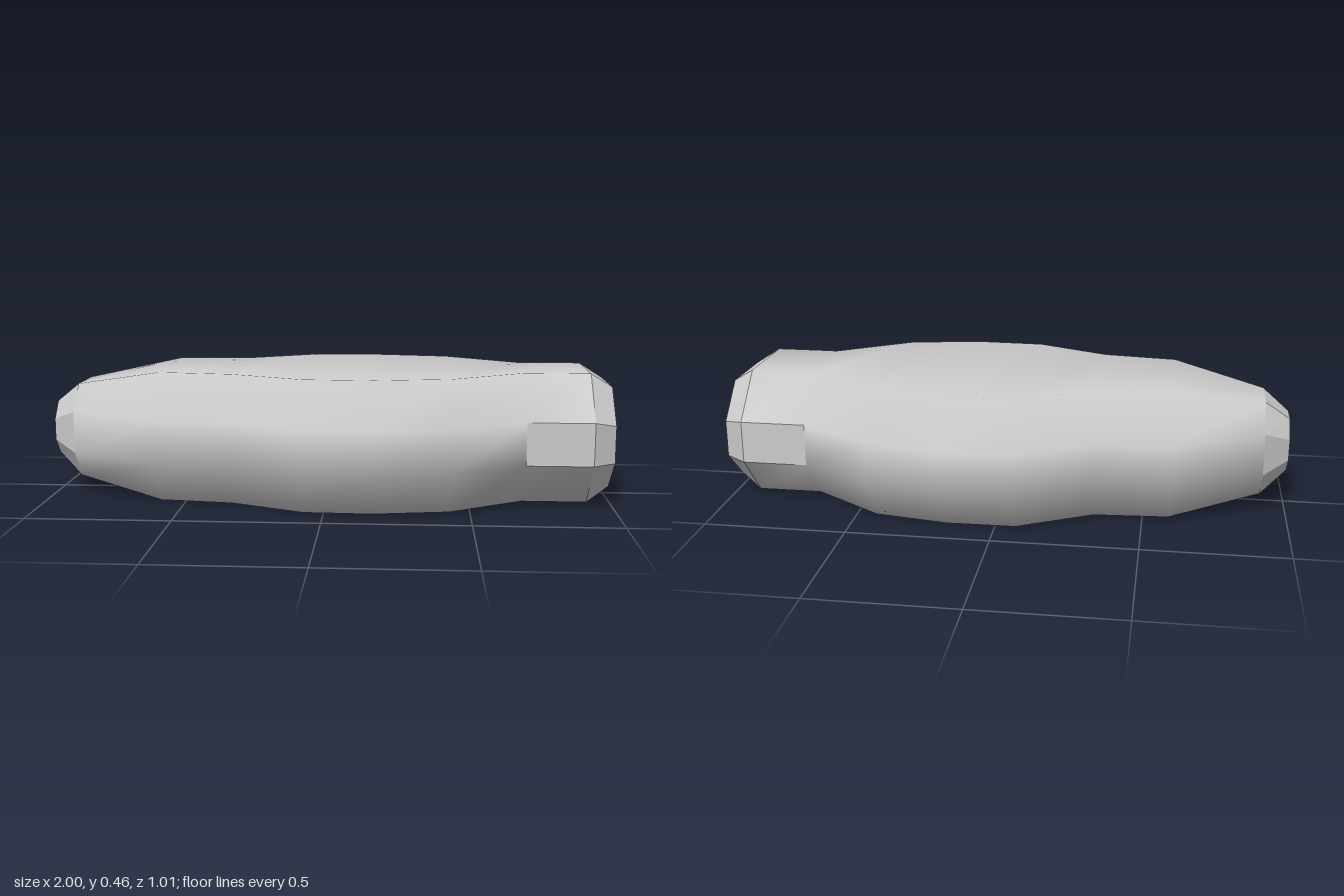
import * as THREE from 'three';

// Octagonal stations along x: x, centre z, half width, half flat of top, top, bottom, side top, side bottom
const stations = [
  [-1.0, 0, 0.10, 0.05, 0.33, 0.14, 0.27, 0.195],
  [-0.91, 0, 0.175, 0.09, 0.40, 0.06, 0.31, 0.16],
  [-0.59, 0, 0.347, 0.21, 0.46, 0, 0.31, 0.16],
  [-0.33, 0.008, 0.37, 0.235, 0.46, 0, 0.31, 0.16],
  [-0.07, -0.004, 0.5, 0.365, 0.46, 0, 0.31, 0.16],
  [0.17, -0.002, 0.505, 0.37, 0.46, 0, 0.31, 0.16],
  [0.43, -0.003, 0.453, 0.325, 0.46, 0, 0.31, 0.16],
  [0.69, 0, 0.30, 0.15, 0.46, 0, 0.31, 0.16],
  [0.92, 0, 0.30, 0.15, 0.46, 0, 0.31, 0.16],
  [1.0, 0, 0.24, 0.122, 0.41, 0.053, 0.29, 0.16],
];

const ring = ([x, c, w, f, top, bottom, s2, s1]) => [
  [x, s2, c + w], [x, top, c + f], [x, top, c - f], [x, s2, c - w],
  [x, s1, c - w], [x, bottom, c - f], [x, bottom, c + f], [x, s1, c + w],
];

// Skin between neighbouring stations, keeping only the chosen sides
function skin(first, last, keep = () => true) {
  const index = [];
  for (let i = first; i < last; i++) {
    for (let j = 0; j < 8; j++) {
      if (!keep(i, j)) continue;
      const k = (j + 1) % 8;
      const a = i * 8 + j, b = i * 8 + k, c = a + 8, d = b + 8;
      index.push(a, c, d, a, d, b);
    }
  }
  return index;
}

// Octagonal end face
function cap(station, reverse) {
  const index = [], s = station * 8;
  for (let j = 1; j < 7; j++) {
    index.push(...(reverse ? [s, s + j + 1, s + j] : [s, s + j, s + j + 1]));
  }
  return index;
}

export function createModel() {
  const model = new THREE.Group();
  model.name = 'bodyModel';
  const points = stations.flatMap(ring).flat();

  const add = (name, index, flat) => {
    let geometry = new THREE.BufferGeometry();
    geometry.setAttribute('position', new THREE.Float32BufferAttribute(points, 3));
    geometry.setIndex(index);
    if (flat) geometry = geometry.toNonIndexed();
    geometry.computeVertexNormals();
    const mesh = new THREE.Mesh(geometry, new THREE.MeshStandardMaterial({ color: 0xcccccc }));
    mesh.name = name;
    model.add(mesh);
  };

  // Smooth hull, leaving out the flat cheeks of the collar
  const isCheek = (i, j) => i === 7 && (j === 3 || j === 7);
  add('hull', skin(1, 8, (i, j) => !isCheek(i, j)), false);
  add('collarCheeks', skin(7, 8, isCheek), true);

  // Faceted ends
  add('wideEndBevel', skin(8, 9), true);
  add('wideEndCap', cap(9, true), true);
  add('narrowEndBevel', skin(0, 1), true);
  add('narrowEndCap', cap(0, false), true);
  return model;
}
